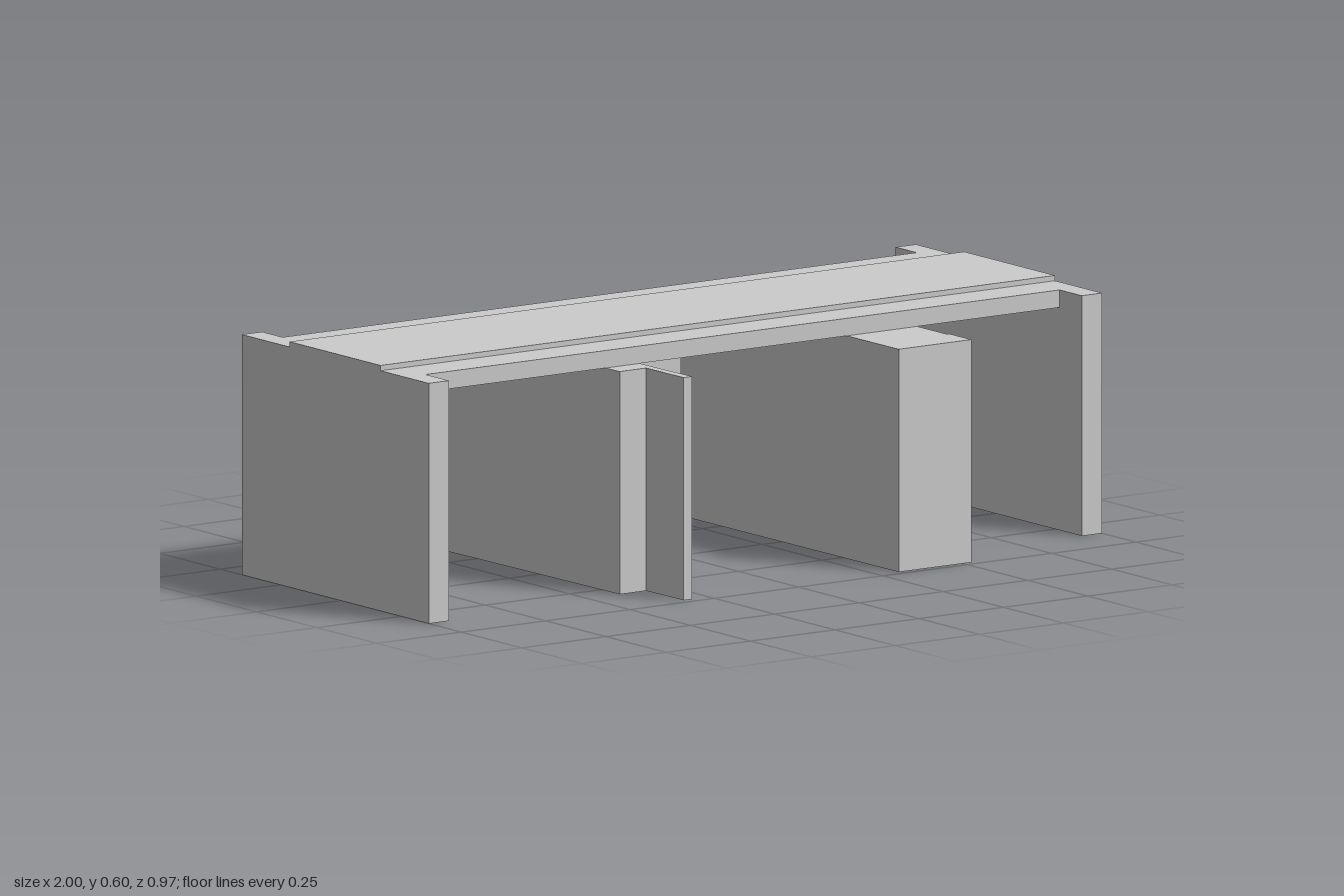
import * as THREE from 'three';

const material = new THREE.MeshStandardMaterial({ color: 0xcccccc, flatShading: true });

export function createModel() {
  const group = new THREE.Group();
  group.name = 'slabOnWalls';

  // Raises a floor-plan outline of [x, z] corners from y0 to y1
  function addPlan(name, corners, y0, y1) {
    const shape = new THREE.Shape(corners.map(([x, z]) => new THREE.Vector2(x, -z)));
    const geometry = new THREE.ExtrudeGeometry(shape, { depth: y1 - y0, bevelEnabled: false });
    geometry.rotateX(-Math.PI / 2);
    geometry.translate(0, y0, 0);
    const mesh = new THREE.Mesh(geometry, material);
    mesh.name = name;
    group.add(mesh);
  }
  const rect = (x0, x1, z0, z1) => [[x0, z0], [x1, z0], [x1, z1], [x0, z1]];

  const underside = 0.547, deck = 0.59, top = 0.603;

  // Roof slab between the end walls, with a raised strip along the middle
  addPlan('roofSlab', rect(-0.94, 0.94, -0.325, 0.268), underside, deck);
  addPlan('raisedStrip', rect(-1, 1, -0.212, 0.165), deck, top);

  // End walls, flush with the slab
  addPlan('rightEndWall', rect(-1, -0.94, -0.41, 0.365), 0, deck);
  addPlan('leftEndWall', rect(0.94, 1, -0.412, 0.36), 0, deck);

  // Thick inner block, very slightly skewed in plan
  addPlan('innerBlock', [
    [0.305, -0.487], [0.515, -0.487], [0.518, 0.39], [0.525, 0.39], [0.525, 0.482], [0.31, 0.482],
  ], 0, underside);

  // Inner wall that steps down to a thin fin at the front
  addPlan('steppedWall', [
    [-0.42, -0.37], [-0.32, -0.37], [-0.3, 0.478], [-0.325, 0.478], [-0.327, 0.325], [-0.405, 0.325],
  ], 0, underside);

  // Box hung under the slab beside the stepped wall
  addPlan('hangingBox', rect(-0.32, -0.17, -0.285, 0.25), 0.4, underside);

  return group;
}
